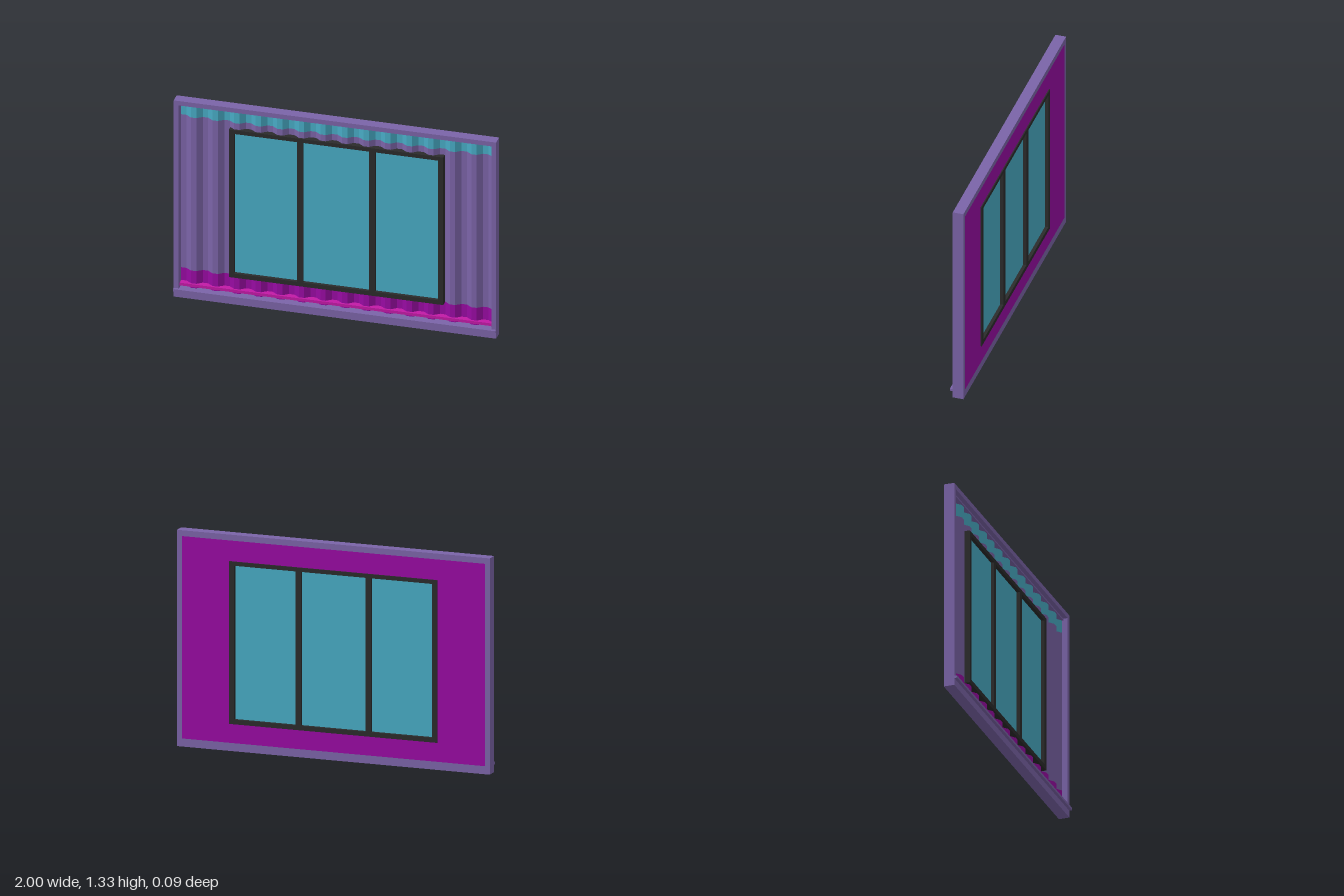
import * as THREE from 'three';

const mat = (name, color, side = THREE.FrontSide) => {
  const m = new THREE.MeshStandardMaterial({ color, side });
  m.name = name;
  return m;
};

const SEG = 1.94 / 58;             // width of one flat or slope of the corrugation
const Z_BACK = -0.033, Z_FRONT = -0.008;

// Depth of the corrugation at x: back flat, rise, front flat, fall
function waveZ(x) {
  const t = ((x + 0.97) / SEG) % 4;
  const k = t < 1 ? 0 : t < 2 ? t - 1 : t < 3 ? 1 : 4 - t;
  return THREE.MathUtils.lerp(Z_BACK, Z_FRONT, k);
}

// Corrugated sheet covering a rectangle
function corrugated(x0, x1, y0, y1) {
  const xs = [x0];
  for (let i = 0; i <= 58; i++) {
    const x = -0.97 + i * SEG;
    if (x > x0 + 1e-4 && x < x1 - 1e-4) xs.push(x);
  }
  xs.push(x1);
  const pos = [];
  for (let i = 0; i < xs.length - 1; i++) {
    const a = xs[i], b = xs[i + 1];
    const za = waveZ(a + 1e-6), zb = waveZ(b - 1e-6);
    pos.push(a, y0, za, b, y0, zb, b, y1, zb, a, y0, za, b, y1, zb, a, y1, za);
  }
  const g = new THREE.BufferGeometry();
  g.setAttribute('position', new THREE.Float32BufferAttribute(pos, 3));
  g.computeVertexNormals();
  return g;
}

export function createModel() {
  const root = new THREE.Group();
  root.name = 'windowWall';

  const purple = mat('purple paint', 0x7b64a8);
  const purpleSheet = mat('purple sheet', 0x7b64a8, THREE.DoubleSide);
  const cyanSheet = mat('cyan band', 0x48abc4, THREE.DoubleSide);
  const magenta = mat('magenta paint', 0x980ba2, THREE.DoubleSide);
  const pink = mat('pink rail', 0xc21aa6);
  const black = mat('window frame black', 0x2b2b2b);
  const glass = mat('glass cyan', 0x48abc4);

  const add = (parent, name, geo, material) => {
    const m = new THREE.Mesh(geo, material);
    m.name = name;
    parent.add(m);
    return m;
  };
  // Box given by its limits on each axis
  const box = (parent, name, material, x0, x1, y0, y1, z0, z1) => {
    const m = add(parent, name, new THREE.BoxGeometry(x1 - x0, y1 - y0, z1 - z0), material);
    m.position.set((x0 + x1) / 2, (y0 + y1) / 2, (z0 + z1) / 2);
  };
  const group = (name) => {
    const g = new THREE.Group();
    g.name = name;
    root.add(g);
    return g;
  };

  // Outer frame
  const frame = group('outerFrame');
  const FZ0 = -0.039, FZ1 = 0.028;
  box(frame, 'leftPost', purple, 0.97, 1, 0, 1.333, FZ0, FZ1);
  box(frame, 'rightPost', purple, -1, -0.97, 0, 1.333, FZ0, FZ1);
  box(frame, 'topBeam', purple, -0.97, 0.97, 1.303, 1.333, FZ0, FZ1);
  box(frame, 'topLip', purple, -0.97, 0.97, 1.293, 1.303, FZ0, 0);
  box(frame, 'sill', purple, -0.97, 0.97, 0, 0.055, FZ0, FZ1);
  box(frame, 'frontLedge', purple, -1, 1, 0.045, 0.06, FZ1, 0.046);
  box(frame, 'bottomRail', pink, -0.97, 0.97, 0.068, 0.086, -0.035, 0.004);

  // Corrugated front cladding, left open behind the window
  const cladding = group('cladding');
  const W = 0.65;
  add(cladding, 'topBand', corrugated(-0.97, 0.97, 1.212, 1.295), cyanSheet);
  add(cladding, 'bottomBand', corrugated(-0.97, 0.97, 0.05, 0.172), magenta);
  add(cladding, 'rightCladding', corrugated(-0.97, -W, 0.172, 1.212), purpleSheet);
  add(cladding, 'leftCladding', corrugated(W, 0.97, 0.172, 1.212), purpleSheet);
  add(cladding, 'upperCladding', corrugated(-W, W, 1.155, 1.212), purpleSheet);

  // Flat back lining with the window opening
  const rect = (S, x0, x1, y0, y1) => new S([
    new THREE.Vector2(x0, y0), new THREE.Vector2(x1, y0),
    new THREE.Vector2(x1, y1), new THREE.Vector2(x0, y1)]);
  const lining = rect(THREE.Shape, -0.97, 0.97, 0.05, 1.297);
  lining.holes.push(rect(THREE.Path, -W, W, 0.18, 1.155));
  add(root, 'backLining', new THREE.ShapeGeometry(lining), magenta).position.z = -0.0392;

  // Window: frame with three openings, and a pane in each
  const win = group('window');
  const WZ0 = -0.046, WZ1 = 0.004;
  const panes = [[-0.633, -0.241], [-0.206, 0.206], [0.241, 0.633]];
  const outline = rect(THREE.Shape, -0.665, 0.665, 0.168, 1.17);
  panes.forEach(([a, b]) => outline.holes.push(rect(THREE.Path, a, b, 0.196, 1.145)));
  add(win, 'windowFrame', new THREE.ExtrudeGeometry(outline,
    { depth: WZ1 - WZ0, bevelEnabled: false }), black).position.z = WZ0;
  panes.forEach(([a, b]) => box(win, 'pane', glass, a, b, 0.196, 1.145, -0.025, -0.017));

  return root;
}
